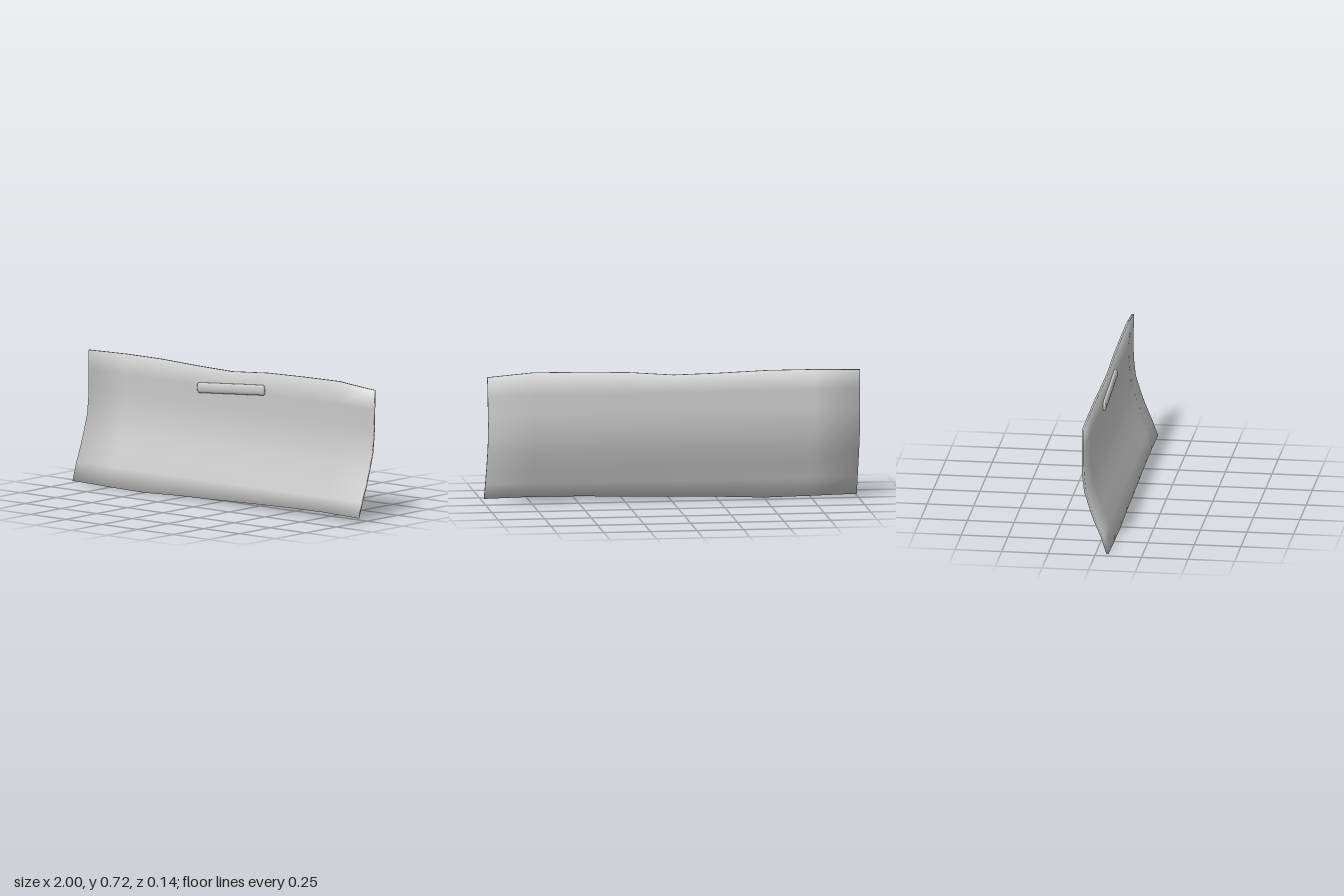
import * as THREE from 'three';

const material = new THREE.MeshStandardMaterial({ color: 0xcccccc });

// Columns across the panel: x, height of the bottom edge, height of the top edge
const columns = [
  [-1, 0.014, 0.703], [-0.75, 0.008, 0.709], [-0.5, 0.004, 0.709], [-0.25, 0.014, 0.7],
  [0, 0.019, 0.695], [0.25, 0.026, 0.714], [0.5, 0.032, 0.72], [0.75, 0.034, 0.723], [1, 0.028, 0.702],
];
// Rows up the panel: y, z of the front face, z of the back face (y is null on the wavy edges)
const rows = [
  [null, 0.073, 0.062], [0.11, 0.043, 0.031], [0.2, 0.006, -0.007], [0.28, -0.022, -0.034],
  [0.36, -0.046, -0.058], [0.45, -0.056, -0.068], [0.5, -0.058, -0.07], [0.6, -0.058, -0.07], [null, -0.058, -0.069],
];

function panelGeometry() {
  const nx = columns.length, ny = rows.length;
  const positions = [], index = [];
  for (const side of [1, 2]) {
    rows.forEach((row, j) => columns.forEach(([x, bottom, top]) => {
      const y = row[0] ?? (j === 0 ? bottom : top);
      const inset = x > 0.9 ? 0.006 * Math.sin(Math.PI * j / (ny - 1)) : 0;
      positions.push(x - inset, y, row[side]);
    }));
  }
  const back = nx * ny;
  const quad = (a, b, c, d) => index.push(a, b, c, a, c, d);
  // Front and back skins
  for (let j = 0; j < ny - 1; j++) {
    for (let i = 0; i < nx - 1; i++) {
      const a = j * nx + i, b = a + 1, c = b + nx, d = a + nx;
      quad(a, b, c, d);
      quad(back + b, back + a, back + d, back + c);
    }
  }
  // Rim, walked counter-clockwise as seen from the front
  const rim = [];
  for (let i = 0; i < nx - 1; i++) rim.push(i);
  for (let j = 0; j < ny - 1; j++) rim.push(j * nx + nx - 1);
  for (let i = nx - 1; i > 0; i--) rim.push((ny - 1) * nx + i);
  for (let j = ny - 1; j > 0; j--) rim.push(j * nx);
  rim.forEach((a, k) => {
    const b = rim[(k + 1) % rim.length];
    quad(a, a + back, b + back, b);
  });

  const geometry = new THREE.BufferGeometry();
  geometry.setAttribute('position', new THREE.Float32BufferAttribute(positions, 3));
  geometry.setIndex(index);
  geometry.computeVertexNormals();

  // Lean the rim normals outward so the edges look softly rounded
  const normal = geometry.attributes.normal;
  const n = new THREE.Vector3();
  for (const r of rim) {
    const i = r % nx, j = Math.floor(r / nx);
    for (const v of [r, r + back]) {
      n.fromBufferAttribute(normal, v);
      n.x += i === 0 ? -0.7 : i === nx - 1 ? 0.7 : 0;
      n.y += j === 0 ? -0.7 : j === ny - 1 ? 0.7 : 0;
      n.normalize();
      normal.setXYZ(v, n.x, n.y, n.z);
    }
  }
  return geometry;
}

// Rod with softened ends
function rodGeometry() {
  const half = 0.233, radius = 0.028;
  const profile = [
    [0, -half], [radius * 0.8, -half + 0.001], [radius, -half + 0.008],
    [radius, half - 0.008], [radius * 0.8, half - 0.001], [0, half],
  ].map(([r, y]) => new THREE.Vector2(r, y));
  return new THREE.LatheGeometry(profile, 24);
}

export function createModel() {
  const group = new THREE.Group();

  const panel = new THREE.Mesh(panelGeometry(), material);
  panel.name = 'curvedPanel';
  group.add(panel);

  // Flattened grip bar, tilted slightly and half sunk into the panel
  const grip = new THREE.Group();
  grip.name = 'grip';
  const rod = new THREE.Mesh(rodGeometry(), material);
  rod.name = 'gripBar';
  rod.rotation.z = -Math.PI / 2 + 0.076;
  grip.add(rod);
  grip.scale.z = 0.45;
  grip.position.set(0.003, 0.602, -0.0535);
  group.add(grip);

  return group;
}
